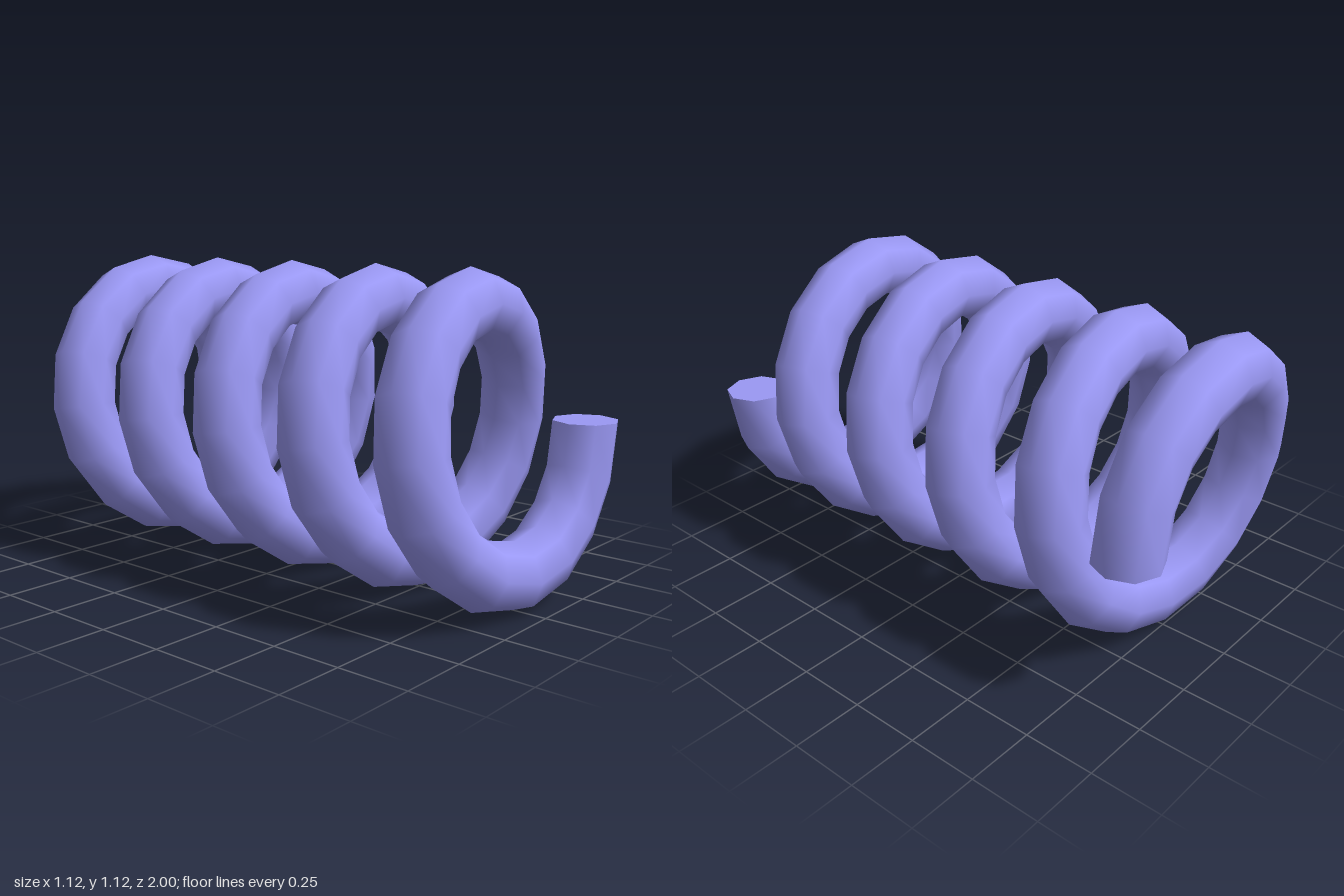
import * as THREE from 'three';

const TURNS = 5, STEPS = 16, SIDES = 8;
const COIL_R = 0.4425, WIRE_R = 0.1175, PITCH = 0.39, END_Z = 0.8825, MID_Y = 0.5625;

// Wire centre at step i: a helix around z whose first and last quarter turns lie flat
function wirePoint(i) {
  const n = TURNS * STEPS;
  const a = -i / STEPS * Math.PI * 2;
  const z = THREE.MathUtils.clamp((TURNS / 2 - i / STEPS) * PITCH, -END_Z, END_Z);
  // the two ends reach slightly past the centre line
  const lift = i === 0 ? 0.018 : i === n ? -0.018 : 0;
  return new THREE.Vector3(Math.cos(a) * COIL_R, MID_Y + Math.sin(a) * COIL_R + lift, z);
}

// Octagonal section of the wire, with its corners on the coil's radius
function wireRing(i) {
  const n = TURNS * STEPS;
  const a = -i / STEPS * Math.PI * 2;
  const radial = new THREE.Vector3(Math.cos(a), Math.sin(a), 0);
  const slope = i < 4 || i > n - 4 ? 0 : -PITCH / (Math.PI * 2 * COIL_R);
  const tangent = new THREE.Vector3(Math.sin(a), -Math.cos(a), slope).normalize();
  const side = new THREE.Vector3().crossVectors(tangent, radial);
  const centre = wirePoint(i);
  return Array.from({ length: SIDES }, (_, k) => {
    const t = k / SIDES * Math.PI * 2;
    return centre.clone()
      .addScaledVector(radial, Math.cos(t) * WIRE_R)
      .addScaledVector(side, Math.sin(t) * WIRE_R);
  });
}

function meshFrom(points, index, material, name) {
  const geometry = new THREE.BufferGeometry().setFromPoints(points);
  geometry.setIndex(index);
  geometry.computeVertexNormals();
  const mesh = new THREE.Mesh(geometry, material);
  mesh.name = name;
  return mesh;
}

export function createModel() {
  const group = new THREE.Group();
  group.name = 'coilSpring';
  const material = new THREE.MeshStandardMaterial({ color: 0x9a98f4 });
  const n = TURNS * STEPS;

  // Coiled wire
  const points = [], index = [];
  for (let i = 0; i <= n; i++) {
    points.push(...wireRing(i));
    if (i === n) break;
    for (let k = 0; k < SIDES; k++) {
      const a = i * SIDES + k, b = i * SIDES + (k + 1) % SIDES;
      index.push(a, b, a + SIDES, b, b + SIDES, a + SIDES);
    }
  }
  group.add(meshFrom(points, index, material, 'coil'));

  // Flat cut ends
  for (const [i, name] of [[0, 'frontEnd'], [n, 'backEnd']]) {
    const fan = [];
    for (let k = 1; k < SIDES - 1; k++) fan.push(0, ...(i === 0 ? [k + 1, k] : [k, k + 1]));
    group.add(meshFrom(wireRing(i), fan, material, name));
  }
  return group;
}
